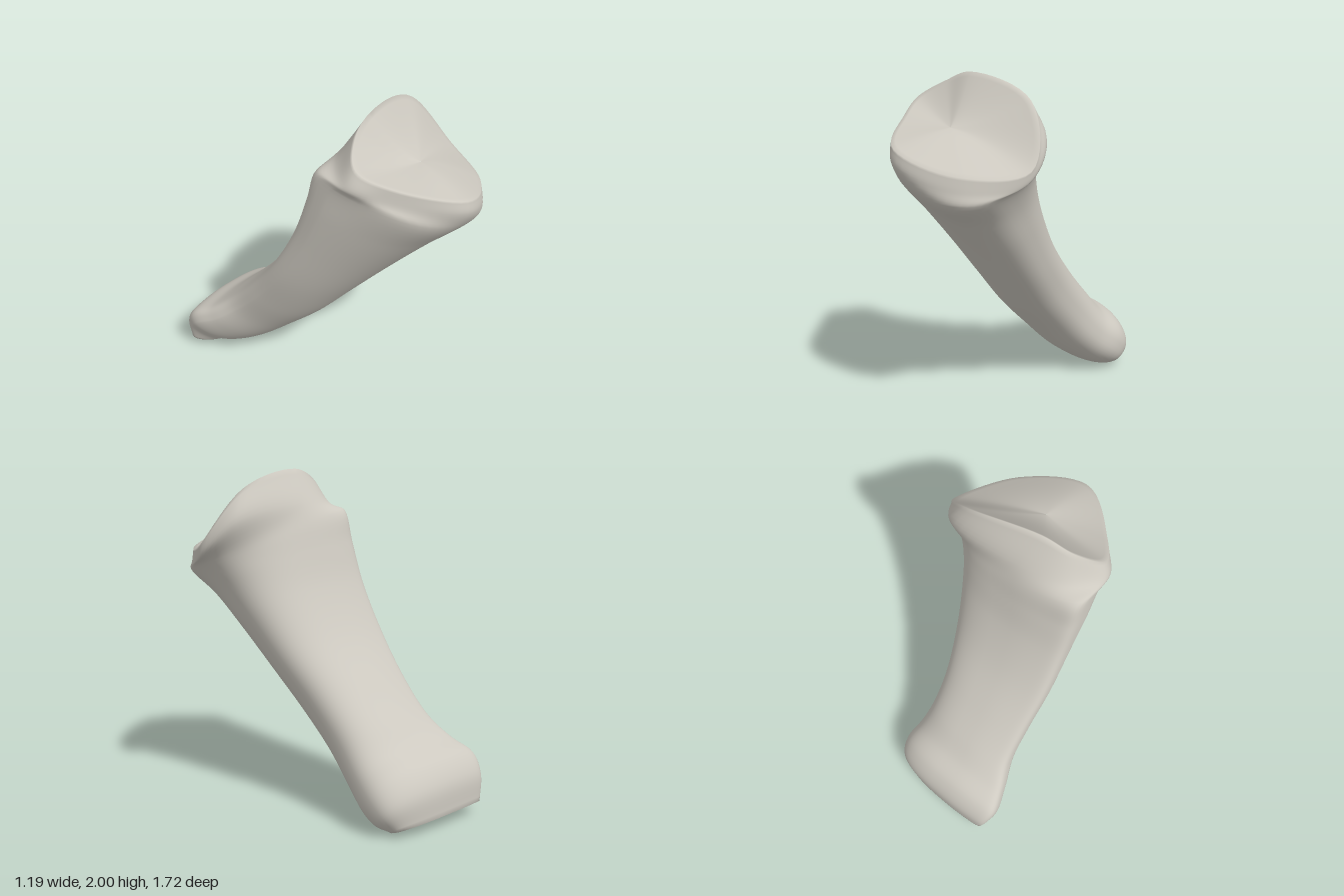
import * as THREE from 'three';

const SIDES = 64, STEPS = 6;

// Oblique sections from the small end to the head:
// [front z, front y, back z, back y, x min, x max, tilt across x]
const SECTIONS = [
  [-0.67, 0.005, -0.855, 0.08, -0.56, 0.09, 0.04],
  [-0.62, 0.005, -0.845, 0.25, -0.585, 0.165, 0.06],
  [-0.54, 0.04, -0.77, 0.37, -0.6, 0.19, 0.06],
  [-0.4, 0.14, -0.64, 0.45, -0.55, 0.17, 0.04],
  [-0.2, 0.33, -0.52, 0.57, -0.485, 0.165, 0],
  [0, 0.53, -0.35, 0.76, -0.46, 0.2, 0],
  [0.2, 0.77, -0.15, 1.02, -0.45, 0.28, 0.04],
  [0.42, 1.03, 0, 1.3, -0.43, 0.37, 0.1],
  [0.64, 1.28, 0.07, 1.5, -0.42, 0.445, 0.2],
  [0.81, 1.46, 0.115, 1.65, -0.41, 0.53, 0.27],
];

// Widest loop of the head, from the left side round the back
const SHOULDER = [
  [0.58, 1.49, 0.38], [0.46, 1.7, 0.165], [0, 1.8, 0.165], [-0.28, 1.8, 0.25],
  [-0.41, 1.76, 0.42], [-0.29, 1.68, 0.59], [0.05, 1.57, 0.86], [0.42, 1.46, 0.7],
];

// Rim of the joint face, in the same order
const RIM = [
  [0.59, 1.56, 0.36], [0.39, 1.88, 0.21], [-0.06, 2.0, 0.29], [-0.24, 1.94, 0.34],
  [-0.36, 1.85, 0.45], [-0.26, 1.76, 0.61], [0.05, 1.645, 0.85], [0.41, 1.54, 0.69],
];

const power = (v, e) => Math.sign(v) * Math.abs(v) ** e;

function sectionLoop([fz, fy, bz, by, x0, x1, tilt]) {
  const loop = [];
  for (let j = 0; j <= SIDES; j++) {
    const t = (j % SIDES) / SIDES * Math.PI * 2;
    const c = Math.cos(t), s = Math.sin(t);
    // square towards the back, slanting away on the front of the right side
    const e = 2 / (c < 0 && s < 0 ? 1.7 : s > 0 ? 2.6 : 2.3);
    const u = power(c, e), dx = u * (x1 - x0) / 2;
    let k = (power(s, e) + 1) / 2;
    if (u < 0) k += 0.8 * u * u * k * (1 - k);
    loop.push(new THREE.Vector3((x0 + x1) / 2 + dx, fy + (by - fy) * k - tilt * dx, fz + (bz - fz) * k));
  }
  return loop;
}

function splineLoop(points) {
  const curve = new THREE.CatmullRomCurve3(points.map((p) => new THREE.Vector3(...p)), true);
  return Array.from({ length: SIDES + 1 }, (_, j) => curve.getPoint((j % SIDES) / SIDES));
}

// Smooth surface through loops; the seam shares its vertices
function skin(loops) {
  const positions = [], index = [];
  loops.forEach((loop) => loop.slice(0, SIDES).forEach((p) => positions.push(p.x, p.y, p.z)));
  for (let i = 0; i < loops.length - 1; i++) {
    for (let j = 0; j < SIDES; j++) {
      const n = (j + 1) % SIDES;
      const a = i * SIDES + j, b = i * SIDES + n;
      index.push(a, b, b + SIDES, a, b + SIDES, a + SIDES);
    }
  }
  const geometry = new THREE.BufferGeometry();
  geometry.setAttribute('position', new THREE.Float32BufferAttribute(positions, 3));
  geometry.setIndex(index);
  geometry.computeVertexNormals();
  return geometry;
}

// Loops shrinking from a rim to a centre, with a rule for the height
function capLoops(rim, centre, count, ease) {
  return Array.from({ length: count }, (_, i) => {
    const s = Math.min((i + 1) / count, 0.995);
    return rim.map((p) => {
      const q = p.clone().lerp(centre, s);
      q.y = THREE.MathUtils.lerp(p.y, centre.y, ease(s));
      return q;
    });
  });
}

export function createModel() {
  const group = new THREE.Group();
  const boneMaterial = new THREE.MeshStandardMaterial({ color: 0xcdc9c0 });
  boneMaterial.name = 'bone';

  // Shaft: curves run lengthwise through the sections, shoulder and rim
  const rim = splineLoop(RIM);
  const keys = [...SECTIONS.map(sectionLoop), splineLoop(SHOULDER), rim];
  const lines = rim.map((_, j) => new THREE.CatmullRomCurve3(keys.map((k) => k[j])));
  const total = (keys.length - 1) * STEPS;
  const loops = Array.from({ length: total + 1 }, (_, i) => lines.map((l) => l.getPoint(i / total)));

  // Facet closing the small end, and the shallow hollow of the joint face
  const facet = capLoops(loops[0], new THREE.Vector3(-0.24, 0.035, -0.765), 8, (s) => s);
  const hollow = capLoops(rim, new THREE.Vector3(0.08, 1.73, 0.52), 14, (s) => s * (1.3 - 0.3 * s * s));

  const bone = new THREE.Mesh(skin([...facet.reverse(), ...loops, ...hollow]), boneMaterial);
  bone.name = 'boneShaftAndHead';
  group.add(bone);
  return group;
}
